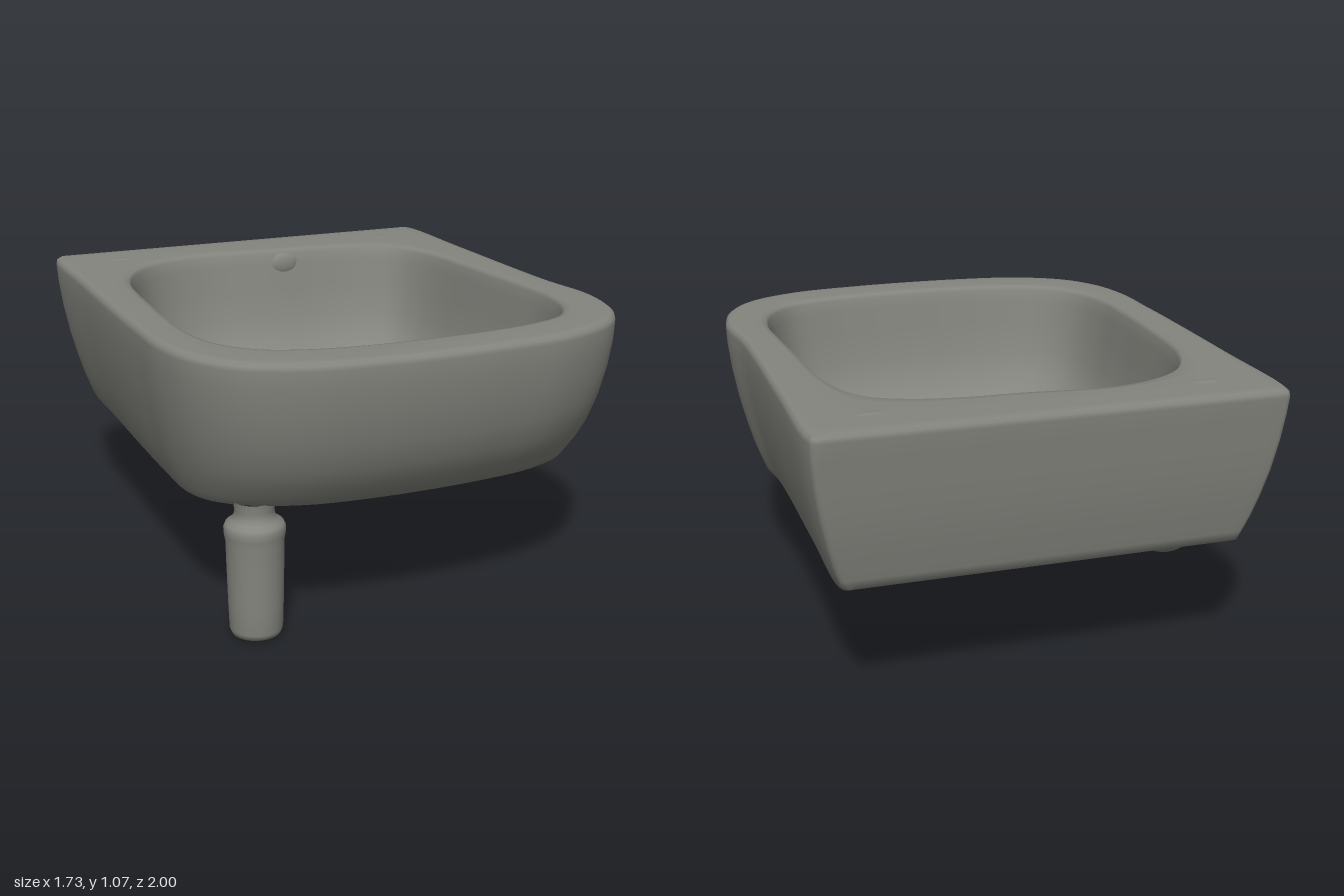
import * as THREE from 'three';

const STEPS = 144;

// Closed smooth outline through [x, z] points, kept flat along the back
function outline(points) {
  const curve = new THREE.CatmullRomCurve3(points.map(([x, z]) => new THREE.Vector3(x, 0, z)), true);
  return Array.from({ length: STEPS }, (_, i) => {
    const p = curve.getPoint(i / STEPS);
    return p.setZ(Math.max(p.z, -1));
  });
}

// Paired outer and inner rim outlines, both from back centre round by +x
const outer = outline([
  [0, -1], [0.42, -1], [0.81, -1], [0.833, -0.98], [0.838, -0.5], [0.835, 0], [0.84, 0.25], [0.86, 0.5],
  [0.81, 0.72], [0.7, 0.86], [0.5, 0.955], [0.25, 0.99], [0, 1], [-0.25, 0.99], [-0.5, 0.95], [-0.7, 0.85],
  [-0.81, 0.7], [-0.86, 0.5], [-0.865, 0.25], [-0.865, 0], [-0.855, -0.5], [-0.838, -0.98], [-0.815, -1], [-0.42, -1],
]);
const inner = outline([
  [0.05, -0.745], [0.25, -0.735], [0.44, -0.695], [0.575, -0.615], [0.65, -0.45], [0.69, 0], [0.703, 0.2], [0.71, 0.42],
  [0.67, 0.6], [0.57, 0.73], [0.4, 0.79], [0.2, 0.815], [0, 0.82], [-0.2, 0.815], [-0.42, 0.78], [-0.58, 0.71],
  [-0.68, 0.59], [-0.725, 0.42], [-0.73, 0.2], [-0.723, 0], [-0.685, -0.42], [-0.6, -0.61], [-0.48, -0.715], [-0.27, -0.775],
]);

// Outer wall ring: separate scales for the sides, the front and the back;
// the lower edge lifts at the front
function wallRing(y, sx, front, back) {
  const low = THREE.MathUtils.clamp((0.62 - y) / 0.145, 0, 1);
  return outer.map((p) => {
    const z = p.z * (p.z > 0 ? front : back);
    const lift = 0.025 * low * THREE.MathUtils.smoothstep(z, 0.4, 0.78);
    return new THREE.Vector3(p.x * sx, y + lift, z);
  });
}

// Joins rings of equal length into one smooth skin
function loft(rings) {
  const pos = [], index = [];
  rings.forEach((ring) => ring.forEach((p) => pos.push(p.x, p.y, p.z)));
  for (let j = 0; j < rings.length - 1; j++) {
    for (let i = 0; i < STEPS; i++) {
      const n = (i + 1) % STEPS;
      const a = j * STEPS + i, c = j * STEPS + n, b = a + STEPS, d = c + STEPS;
      index.push(a, b, c, c, b, d);
    }
  }
  const g = new THREE.BufferGeometry();
  g.setAttribute('position', new THREE.Float32BufferAttribute(pos, 3));
  g.setIndex(index);
  g.computeVertexNormals();
  return g;
}

function basinGeometry() {
  const rings = [];
  // Domed underside with drain tip, becoming round toward the middle
  const base = wallRing(0.475, 0.86, 0.79, 0.89);
  const under = [[0.004, 0.22], [0.05, 0.225], [0.1, 0.245], [0.17, 0.285], [0.28, 0.313], [0.42, 0.335],
    [0.55, 0.362], [0.66, 0.395], [0.76, 0.435], [0.86, 0.465], [0.94, 0.473], [0.985, 0.475]];
  for (const [s, y] of under) {
    const round = Math.min(1, (1 - s) * 2);
    rings.push(base.map((p) => {
      const dx = p.x, dz = p.z - 0.05, k = THREE.MathUtils.lerp(1, 0.77 / Math.hypot(dx, dz), round);
      return new THREE.Vector3(dx * k * s, y + (p.y - 0.475) * s ** 4, 0.05 + dz * k * s);
    }));
  }
  // Outer wall, swelling up to the rim
  const walls = [[0.483, 0.868, 0.805, 0.895], [0.52, 0.885, 0.83, 0.905], [0.58, 0.91, 0.868, 0.92],
    [0.66, 0.935, 0.915, 0.94], [0.76, 0.962, 0.955, 0.96], [0.87, 0.984, 0.983, 0.977],
    [0.97, 0.997, 0.997, 0.99], [1.035, 1, 1, 1], [1.052, 0.996, 0.996, 0.998], [1.062, 0.982, 0.984, 0.988]];
  walls.forEach((w) => rings.push(wallRing(...w)));
  // Flat rim from the outer edge to the opening
  for (const t of [0.15, 0.5, 0.85]) {
    rings.push(outer.map((p, i) => p.clone().multiplyScalar(0.98).lerp(inner[i], t).setY(1.064)));
  }
  // Bowl, sinking to a dished floor a little in front of centre
  const bowl = [[1, 1.06], [0.988, 1.045], [0.975, 1.0], [0.955, 0.9], [0.925, 0.78], [0.875, 0.68],
    [0.79, 0.598], [0.66, 0.535], [0.48, 0.487], [0.28, 0.457], [0.12, 0.445], [0.004, 0.442]];
  for (const [s, y] of bowl) {
    rings.push(inner.map((p) => new THREE.Vector3(p.x * s, y, 0.12 + (p.z - 0.12) * s)));
  }
  return loft(rings);
}

export function createModel() {
  const model = new THREE.Group();
  model.name = 'washbasin';
  const ceramic = new THREE.MeshStandardMaterial({ color: 0x85857f });
  ceramic.name = 'grey ceramic';

  const add = (name, geometry, x, y, z) => {
    const mesh = new THREE.Mesh(geometry, ceramic);
    mesh.name = name;
    mesh.position.set(x, y, z);
    model.add(mesh);
    return mesh;
  };
  const blob = (name, position, scale) => {
    const mesh = add(name, new THREE.SphereGeometry(1, 24, 16), ...position);
    mesh.scale.set(...scale);
    return mesh;
  };

  add('basin', basinGeometry(), 0, 0, 0);

  // Front leg with rounded foot, collar and neck
  const profile = [[0, 0.002], [0.07, 0.003], [0.087, 0.01], [0.095, 0.03], [0.098, 0.12], [0.101, 0.25], [0.103, 0.36],
    [0.108, 0.385], [0.109, 0.41], [0.102, 0.425], [0.085, 0.437], [0.072, 0.452], [0.07, 0.475], [0.075, 0.51]];
  add('frontLeg', new THREE.LatheGeometry(profile.map(([r, y]) => new THREE.Vector2(r, y)), 32), -0.575, 0, 0.645);
  blob('legKnob', [-0.585, 0.285, 0.56], [0.035, 0.05, 0.03]);
  blob('legKnobTop', [-0.565, 0.355, 0.56], [0.035, 0.045, 0.025]);

  // Short stub under the back corner
  blob('backStub', [-0.57, 0.41, -0.6], [0.09, 0.07, 0.145]).rotation.x = 0.35;

  // Shallow bumps on the back ledge and the overflow lip
  for (const side of [-1, 1]) blob('ledgeBump', [side * 0.6, 1.06, -0.82], [0.06, 0.007, 0.03]);
  blob('overflowLip', [0.1, 1.0, -0.735], [0.065, 0.05, 0.025]);

  return model;
}
